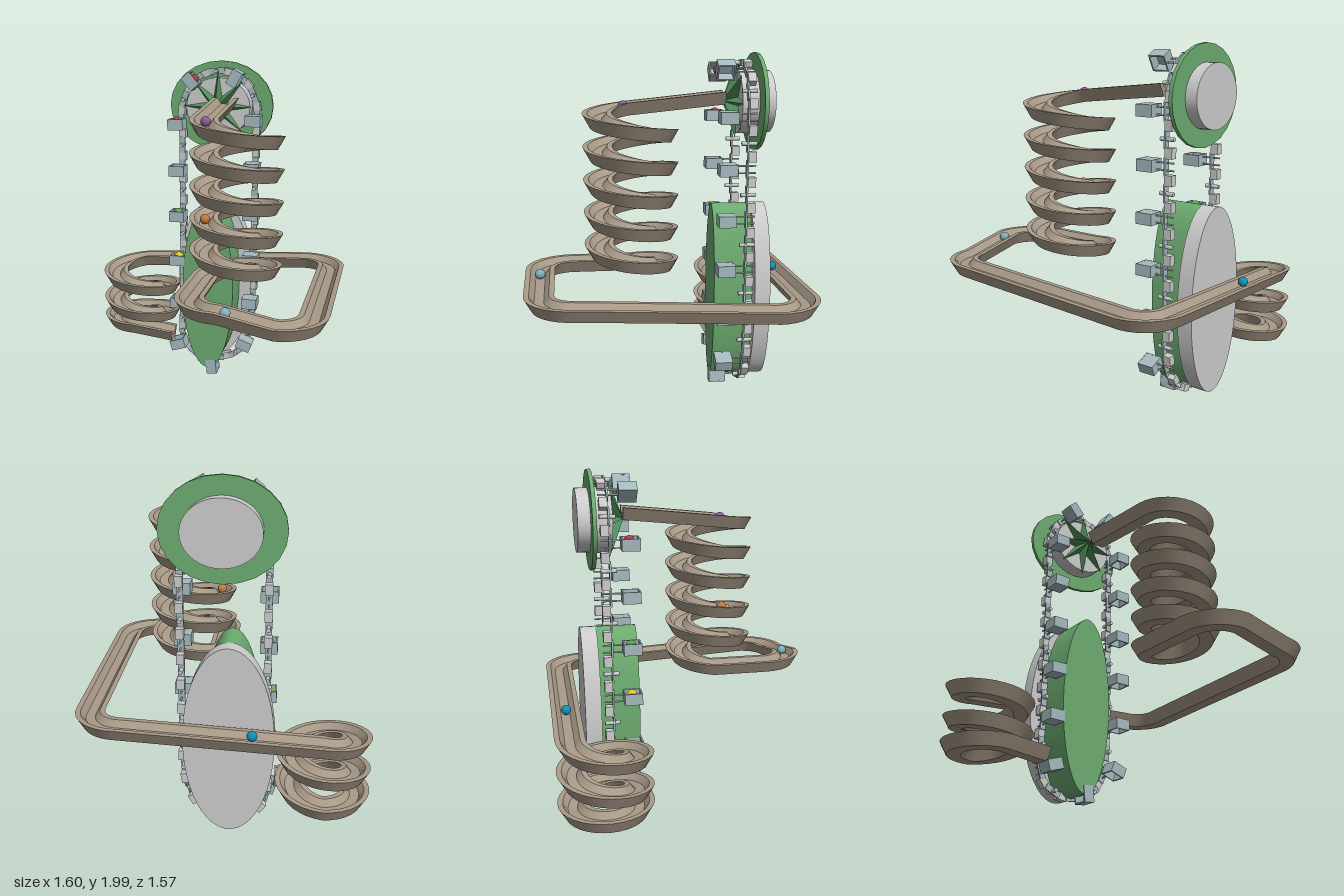
import * as THREE from 'three';
import { mergeGeometries, toCreasedNormals } from 'three/addons/utils/BufferGeometryUtils.js';

const mat = (color, flatShading = false) => new THREE.MeshStandardMaterial({ color, flatShading });
const GREY = mat(0xcccccc), GREEN = mat(0x6cab70), STAR = mat(0x4f8f5a, true);
const TRACK = mat(0xa89a88), BUCKET = mat(0xa3b9be);

function mesh(parent, name, geometry, material, x = 0, y = 0, z = 0) {
  const m = new THREE.Mesh(geometry, material);
  m.name = name;
  m.position.set(x, y, z);
  parent.add(m);
  return m;
}

const box = (w, h, d, x = 0, y = 0, z = 0) => new THREE.BoxGeometry(w, h, d).translate(x, y, z);

// Cylinder lying along z between two depths
const rod = (r, z0, z1, y = 0, sides = 8) =>
  new THREE.CylinderGeometry(r, r, z1 - z0, sides).rotateX(Math.PI / 2).translate(0, y, (z0 + z1) / 2);

// Oval plate facing the front
function oval(parent, name, rx, ry, z0, z1, x, y, material, sides = 48) {
  mesh(parent, name, rod(1, z0, z1, 0, sides).scale(rx, ry, 1), material, x, y);
}

// Centre line of the marble run: straights and left turns, each ending at height y
function trackPath() {
  const R = 0.179;
  let x = 0.065, y = 1.79, z = -0.34, a = 0;
  const points = [{ x, y, z, a }];
  const straight = (length, endY) => {
    x += Math.sin(a) * length;
    z += Math.cos(a) * length;
    y = endY;
    points.push({ x, y, z, a });
  };
  const turn = (angle, endY) => {
    const cx = x + Math.cos(a) * R, cz = z - Math.sin(a) * R;
    const n = Math.round(angle / (Math.PI / 16)), a0 = a, y0 = y;
    for (let i = 1; i <= n; i++) {
      a = a0 + (angle * i) / n;
      y = y0 + ((endY - y0) * i) / n;
      x = cx - Math.cos(a) * R;
      z = cz + Math.sin(a) * R;
      points.push({ x, y, z, a });
    }
  };
  straight(0.54, 1.735);
  turn(Math.PI * 10, 0.845); // tall spiral, five turns
  straight(0.325, 0.845);
  turn(Math.PI / 2, 0.845);
  straight(0.297, 0.785);
  turn(Math.PI / 2, 0.785);
  straight(1.055, 0.73);
  turn(Math.PI / 2, 0.73);
  straight(1.082, 0.67);
  turn(Math.PI * 4, 0.305); // short spiral, two turns
  turn(Math.PI, 0.305);
  straight(0.265, 0.275);
  return points;
}

// Sweep of the grooved channel section along the path
function trackGeometry() {
  const section = [
    [-0.04, -0.072], [0.04, -0.072], [0.08, 0], [0.052, 0],
    [0.025, -0.035], [-0.025, -0.035], [-0.052, 0], [-0.08, 0],
  ];
  const path = trackPath(), n = section.length, pos = [], index = [];
  path.forEach((p, i) => {
    for (const [u, v] of section) pos.push(p.x + Math.cos(p.a) * u, p.y + v, p.z - Math.sin(p.a) * u);
    if (i === 0) return;
    for (let j = 0; j < n; j++) {
      const a = (i - 1) * n + j, b = (i - 1) * n + ((j + 1) % n);
      index.push(a, b, a + n, b, b + n, a + n);
    }
  });
  const last = (path.length - 1) * n;
  const caps = THREE.ShapeUtils.triangulateShape(section.map(([u, v]) => new THREE.Vector2(u, v)), []);
  for (const [a, b, c] of caps) index.push(a, c, b, last + a, last + b, last + c);
  const g = new THREE.BufferGeometry();
  g.setAttribute('position', new THREE.Float32BufferAttribute(pos, 3));
  g.setIndex(index);
  return toCreasedNormals(g, 0.5);
}

// Chain loop: up the -x side, over the wheel, down the +x side, sagging round the bottom
const loop = new THREE.CatmullRomCurve3([
  [-0.233, 0.19], [-0.233, 0.5], [-0.233, 1], [-0.233, 1.5], [-0.23, 1.74], [-0.14, 1.89],
  [0, 1.942], [0.15, 1.89], [0.228, 1.76], [0.233, 1.5], [0.233, 1], [0.233, 0.52],
  [0.23, 0.38], [0.205, 0.23], [0.13, 0.11], [-0.015, 0.055], [-0.165, 0.09],
].map(([x, y]) => new THREE.Vector3(x, y, 0)), true);

function placeOnLoop(object, u) {
  const t = loop.getTangentAt(u);
  object.position.copy(loop.getPointAt(u));
  object.rotation.z = Math.atan2(-t.x, t.y);
}

function addChain(parent) {
  const count = 15;
  const bucketGeometry = mergeGeometries([
    box(0.095, 0.008, 0.1, 0, -0.028, -0.335),
    ...[-1, 1].map((s) => box(0.008, 0.065, 0.1, s * 0.0435, 0, -0.335)),
    ...[-1, 1].map((s) => box(0.095, 0.065, 0.008, 0, 0, -0.335 + s * 0.046)),
  ]);
  const hangerGeometry = mergeGeometries([-0.02, 0.02].map((y) => rod(0.005, -0.495, -0.38, y)));
  const pinGeometry = rod(0.012, -0.495, -0.41);
  const plateGeometry = box(0.036, 0.1, 0.01, 0, 0, -0.445);
  const blockGeometry = box(0.042, 0.058, 0.045, 0, 0, -0.47);
  const ballGeometry = new THREE.SphereGeometry(0.03, 20, 14);
  const cargo = { 2: 0xd8c830, 3: 0x58a848, 5: 0xb83848, 6: 0xb83848 };

  for (let i = 0; i < count; i++) {
    const carrier = new THREE.Group();
    carrier.name = 'bucketCarrier';
    mesh(carrier, 'bucket', bucketGeometry, BUCKET);
    mesh(carrier, 'hangerRods', hangerGeometry, GREY);
    mesh(carrier, 'chainPlate', plateGeometry, BUCKET);
    if (cargo[i]) mesh(carrier, 'liftedMarble', ballGeometry, mat(cargo[i]), 0, 0.015, -0.34);
    placeOnLoop(carrier, i / count);
    parent.add(carrier);

    const joint = new THREE.Group();
    joint.name = 'chainJoint';
    mesh(joint, 'chainPin', pinGeometry, GREY);
    mesh(joint, 'chainPlate', plateGeometry, BUCKET);
    placeOnLoop(joint, (i + 0.5) / count);
    parent.add(joint);

    for (const k of [0.25, 0.75]) placeOnLoop(mesh(parent, 'chainBlock', blockGeometry, GREY), (i + k) / count);
  }
}

// Eight-pointed raised star: a cone with every other rim point pulled in
function starGeometry() {
  const g = new THREE.ConeGeometry(1, 0.08, 16).rotateX(Math.PI / 2);
  const p = g.attributes.position;
  for (let i = 0; i < p.count; i++) {
    const x = p.getX(i), y = p.getY(i);
    if (Math.hypot(x, y) < 0.5) continue;
    const step = Math.round(Math.atan2(y, x) / (Math.PI / 8));
    const k = step % 2 === 0 ? 0.215 : 0.065;
    p.setXY(i, x * k, y * k);
  }
  g.computeVertexNormals();
  return g;
}

export function createModel() {
  const model = new THREE.Group();
  model.name = 'marbleLift';

  mesh(model, 'marbleTrack', trackGeometry(), TRACK);

  // Upper wheel
  oval(model, 'wheelFlange', 0.327, 0.275, -0.537, -0.515, 0, 1.725, GREEN, 24);
  oval(model, 'wheelBackPlate', 0.206, 0.175, -0.605, -0.537, 0, 1.725, GREY);
  oval(model, 'sprocket', 0.2, 0.18, -0.515, -0.42, 0, 1.725, GREY, 24);
  mesh(model, 'star', starGeometry(), STAR, 0, 1.73, -0.38);

  // Lower guide body
  oval(model, 'guideBackPlate', 0.247, 0.54, -0.605, -0.515, -0.033, 0.59, GREY);
  oval(model, 'guideBody', 0.163, 0.54, -0.515, -0.29, -0.033, 0.59, GREEN);

  addChain(model);

  // Marbles rolling on the track
  const marble = new THREE.SphereGeometry(0.028, 20, 14);
  [
    [0.077, 1.715, 0.23, 0x8a5a9a], [0.077, 1.185, 0.245, 0xc47a3a],
    [0.29, 0.825, 0.705, 0x7fb0ba], [-0.165, 0.69, -0.705, 0x1090b4],
  ].forEach(([x, y, z, color]) => mesh(model, 'rollingMarble', marble, mat(color), x, y, z));

  return model;
}
